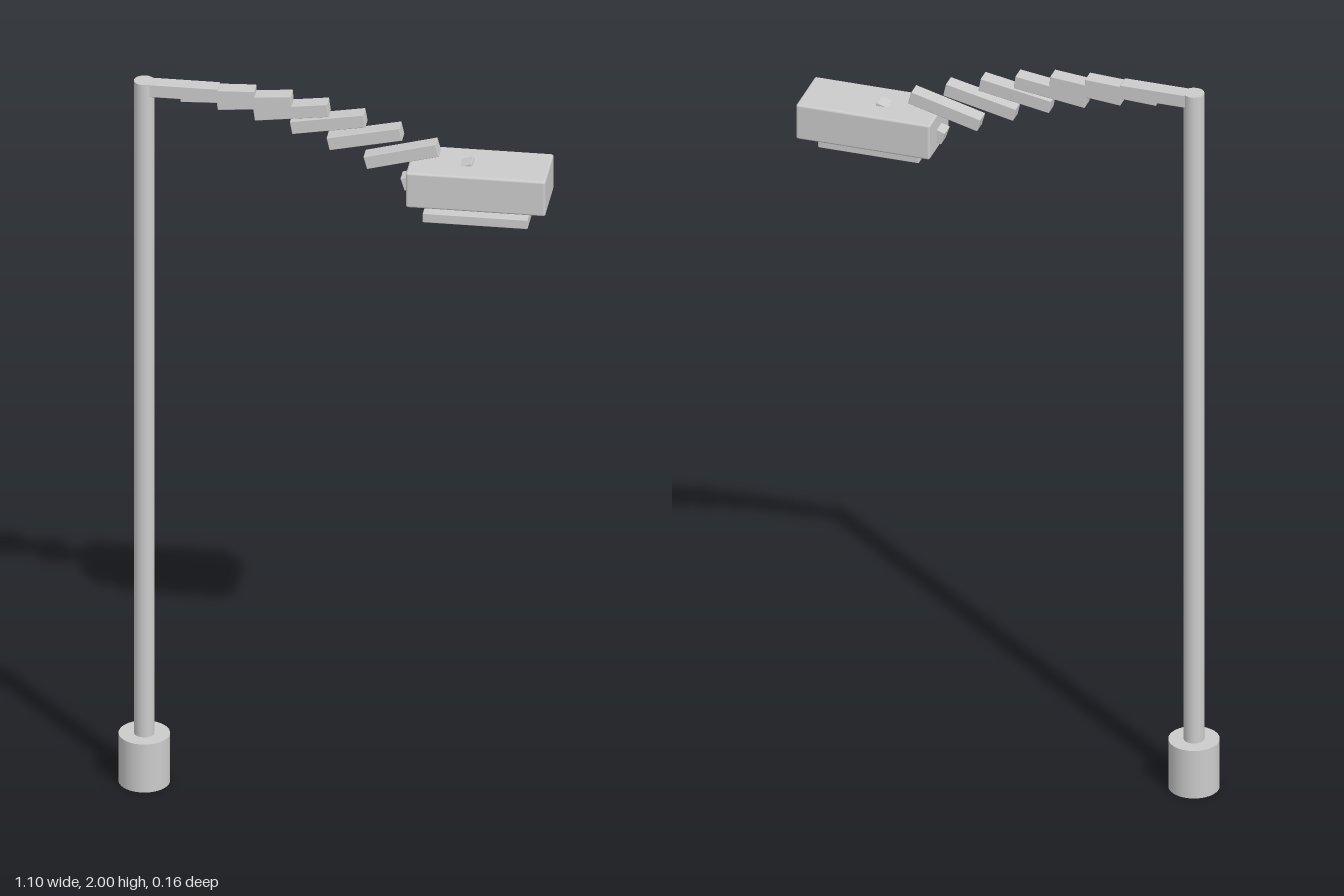
import * as THREE from 'three';
import { RoundedBoxGeometry } from 'three/addons/geometries/RoundedBoxGeometry.js';

const POLE_X = -0.485;

export function createModel() {
  const model = new THREE.Group();
  model.name = 'streetLamp';
  const material = new THREE.MeshStandardMaterial({ color: 0xcccccc });

  const add = (name, geometry, x, y, z = 0) => {
    const mesh = new THREE.Mesh(geometry, material);
    mesh.name = name;
    mesh.position.set(x, y, z);
    model.add(mesh);
    return mesh;
  };

  // Base drum and the tall pole standing in it
  add('base', new THREE.CylinderGeometry(0.065, 0.065, 0.137, 32), POLE_X, 0.0685);
  add('pole', new THREE.CylinderGeometry(0.0262, 0.0262, 1.99, 24), POLE_X, 1.005);

  // Drooping arm: overlapping bars, each lower and tilted further up than the last
  const barGeometry = new RoundedBoxGeometry(0.19, 0.036, 0.04, 2, 0.002);
  for (let i = 0; i < 8; i++) {
    const bar = add('armSegment' + (i + 1), barGeometry, -0.39 + 0.0935 * i, 1.981 - 0.0039 * i * i);
    bar.rotation.z = THREE.MathUtils.degToRad(2.5 * i);
  }

  // Lamp housing with the light panel hanging just below, towards the front
  add('lampHousing', new RoundedBoxGeometry(0.355, 0.099, 0.156, 3, 0.006), 0.368, 1.777);
  add('lightPanel', new RoundedBoxGeometry(0.267, 0.026, 0.111, 2, 0.002), 0.367, 1.701, 0.021);

  return model;
}
